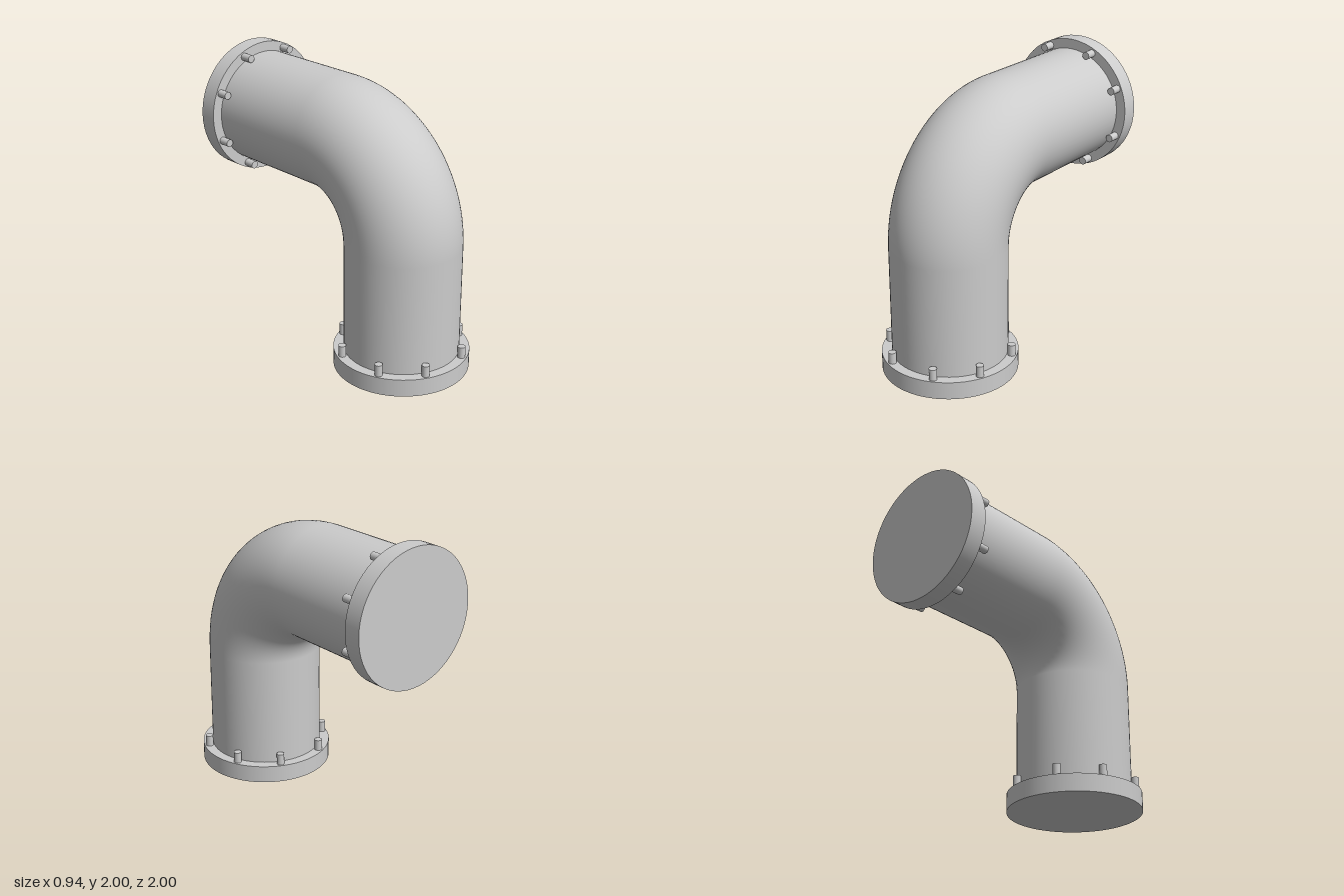
import * as THREE from 'three';

const PIPE_R = 0.4, BEND_R = 0.63, LEG = 0.9, CENTRE = 0.53;
const FLANGE_R = 0.47, FLANGE_H = 0.125;
const BOLT_R = 0.027, BOLT_H = 0.08, BOLT_CIRCLE = 0.433;

const material = new THREE.MeshStandardMaterial({ color: 0xcccccc });

function addPart(parent, name, geometry) {
  const mesh = new THREE.Mesh(geometry, material);
  mesh.name = name;
  parent.add(mesh);
  return mesh;
}

// Straight pipe standing on a bolted flange, base at the origin
function createLeg(name) {
  const leg = new THREE.Group();
  leg.name = name;

  const pipe = new THREE.CylinderGeometry(PIPE_R, PIPE_R, LEG - 0.06, 64, 1, true);
  addPart(leg, 'straightPipe', pipe).position.y = (LEG + 0.06) / 2;

  const flange = new THREE.CylinderGeometry(FLANGE_R, FLANGE_R, FLANGE_H, 64);
  addPart(leg, 'flange', flange).position.y = FLANGE_H / 2;

  // Eight bolts, two mirrored into each quadrant
  const boltGeometry = new THREE.CylinderGeometry(BOLT_R, BOLT_R, BOLT_H + 0.02, 20);
  for (const degrees of [23.8, 65.8]) {
    const angle = THREE.MathUtils.degToRad(degrees);
    for (const sx of [-1, 1]) {
      for (const sz of [-1, 1]) {
        addPart(leg, 'bolt', boltGeometry).position.set(
          sx * BOLT_CIRCLE * Math.cos(angle),
          FLANGE_H + (BOLT_H - 0.02) / 2,
          sz * BOLT_CIRCLE * Math.sin(angle)
        );
      }
    }
  }
  return leg;
}

export function createModel() {
  const model = new THREE.Group();
  model.name = 'pipeElbow';

  // Upright leg
  const lower = createLeg('lowerLeg');
  lower.position.z = CENTRE;
  model.add(lower);

  // Horizontal leg, its flange facing the back
  const upper = createLeg('upperLeg');
  upper.rotation.x = Math.PI / 2;
  upper.position.set(0, LEG + BEND_R, -1);
  model.add(upper);

  // Quarter bend joining the two legs
  const bend = new THREE.TorusGeometry(BEND_R, PIPE_R, 64, 48, Math.PI / 2);
  bend.rotateY(-Math.PI / 2);
  addPart(model, 'bend', bend).position.set(0, LEG, LEG - 1);

  return model;
}
